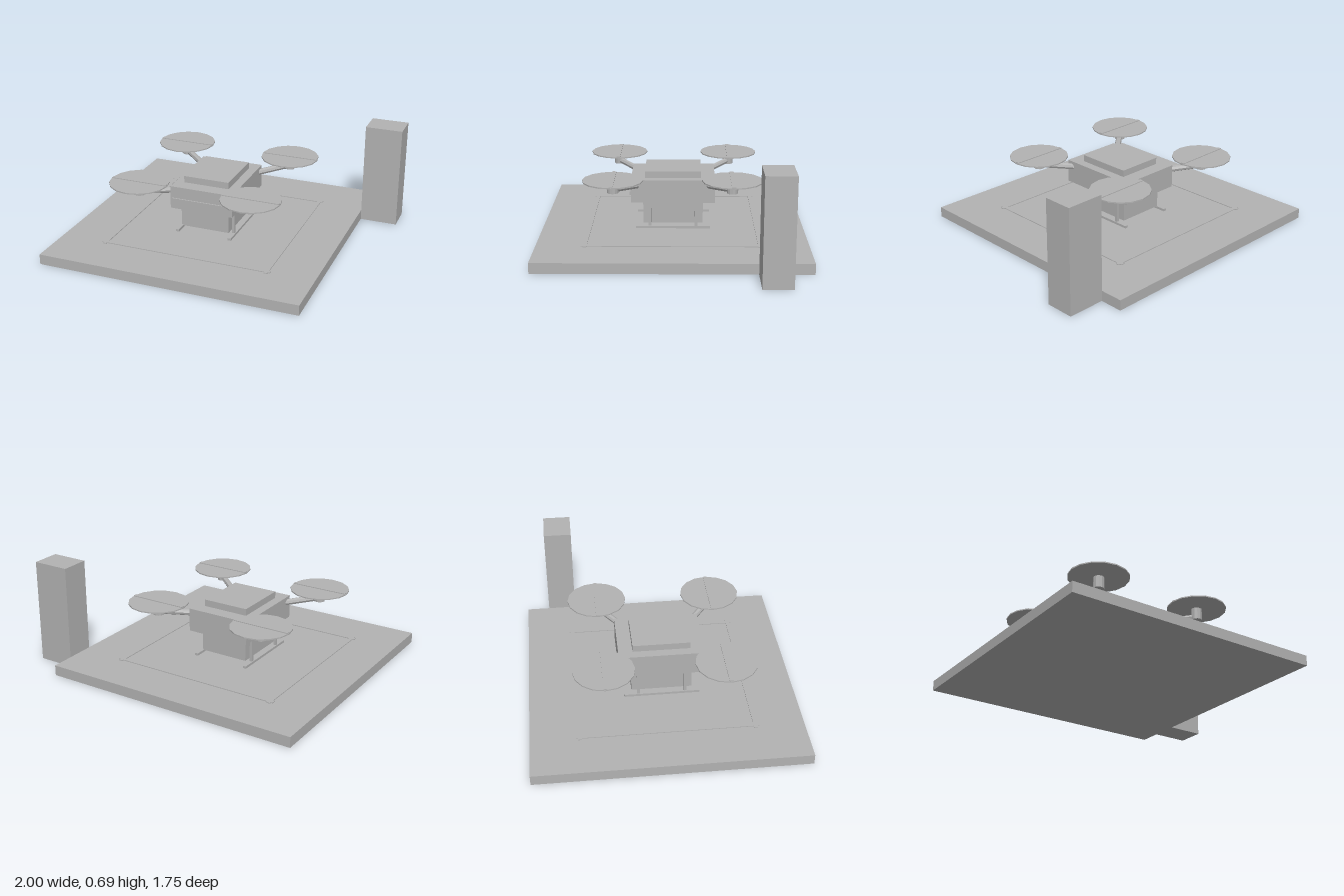
import * as THREE from 'three';

export function createModel() {
  const model = new THREE.Group();
  const grey = new THREE.MeshStandardMaterial({ color: 0xb2b2b2 });
  grey.name = 'plain grey';
  const facets = new THREE.MeshStandardMaterial({ color: 0xb2b2b2, flatShading: true });
  facets.name = 'plain grey faceted';

  const add = (parent, name, geometry, x, y, z, material = grey) => {
    const mesh = new THREE.Mesh(geometry, material);
    mesh.name = name;
    mesh.position.set(x, y, z);
    parent.add(mesh);
    return mesh;
  };
  // Box given by its centre in x and z and its bottom and top heights
  const box = (parent, name, w, d, y0, y1, x = 0, z = 0) =>
    add(parent, name, new THREE.BoxGeometry(w, y1 - y0, d), x, (y0 + y1) / 2, z);

  // Side post
  box(model, 'sidePost', 0.25, 0.19, 0, 0.69, 0.875, -0.627);

  // Landing pad with a thin square marking whose strips overhang at the corners
  const pad = new THREE.Group();
  pad.name = 'landingPad';
  pad.position.x = -0.125;
  model.add(pad);
  box(pad, 'padSlab', 1.75, 1.75, 0, 0.069);
  for (const s of [-1, 1]) {
    box(pad, 'markingAcross', 1.17, 0.025, 0.069, 0.074, 0, s * 0.56);
    box(pad, 'markingAlong', 0.025, 1.17, 0.069, 0.074, s * 0.56, 0);
  }

  // Drone
  const drone = new THREE.Group();
  drone.name = 'drone';
  drone.position.x = -0.125;
  model.add(drone);
  box(drone, 'body', 0.435, 0.56, 0.255, 0.41);
  box(drone, 'lid', 0.315, 0.375, 0.41, 0.455);
  box(drone, 'cargoBox', 0.325, 0.4, 0.098, 0.255);
  box(drone, 'frontStrip', 0.41, 0.01, 0.305, 0.33, 0, 0.284);

  // Landing gear: a skid and two struts on each side
  for (const s of [-1, 1]) {
    box(drone, 'skid', 0.022, 0.5, 0.07, 0.086, s * 0.187, 0);
    for (const t of [-1, 1]) box(drone, 'strut', 0.018, 0.018, 0.08, 0.26, s * 0.183, t * 0.155);
  }

  // Four arms, each with a motor, rotor disc and blade
  const up = new THREE.Vector3(0, 1, 0);
  for (const sx of [-1, 1]) for (const sz of [-1, 1]) {
    const start = new THREE.Vector3(sx * 0.175, 0.366, sz * 0.215);
    const end = new THREE.Vector3(sx * 0.387, 0.396, sz * 0.387);
    const span = end.clone().sub(start);
    const mid = start.clone().add(end).multiplyScalar(0.5);
    const arm = add(drone, 'arm', new THREE.CylinderGeometry(0.021, 0.021, span.length(), 8), mid.x, mid.y, mid.z, facets);
    arm.quaternion.setFromUnitVectors(up, span.normalize());
    add(drone, 'motor', new THREE.CylinderGeometry(0.036, 0.036, 0.08, 12), end.x, 0.413, end.z, facets);
    add(drone, 'rotorDisc', new THREE.CylinderGeometry(0.197, 0.197, 0.008, 16), end.x, 0.456, end.z, facets);
    box(drone, 'rotorBlade', 0.384, 0.026, 0.455, 0.465, end.x, end.z);
  }
  return model;
}
